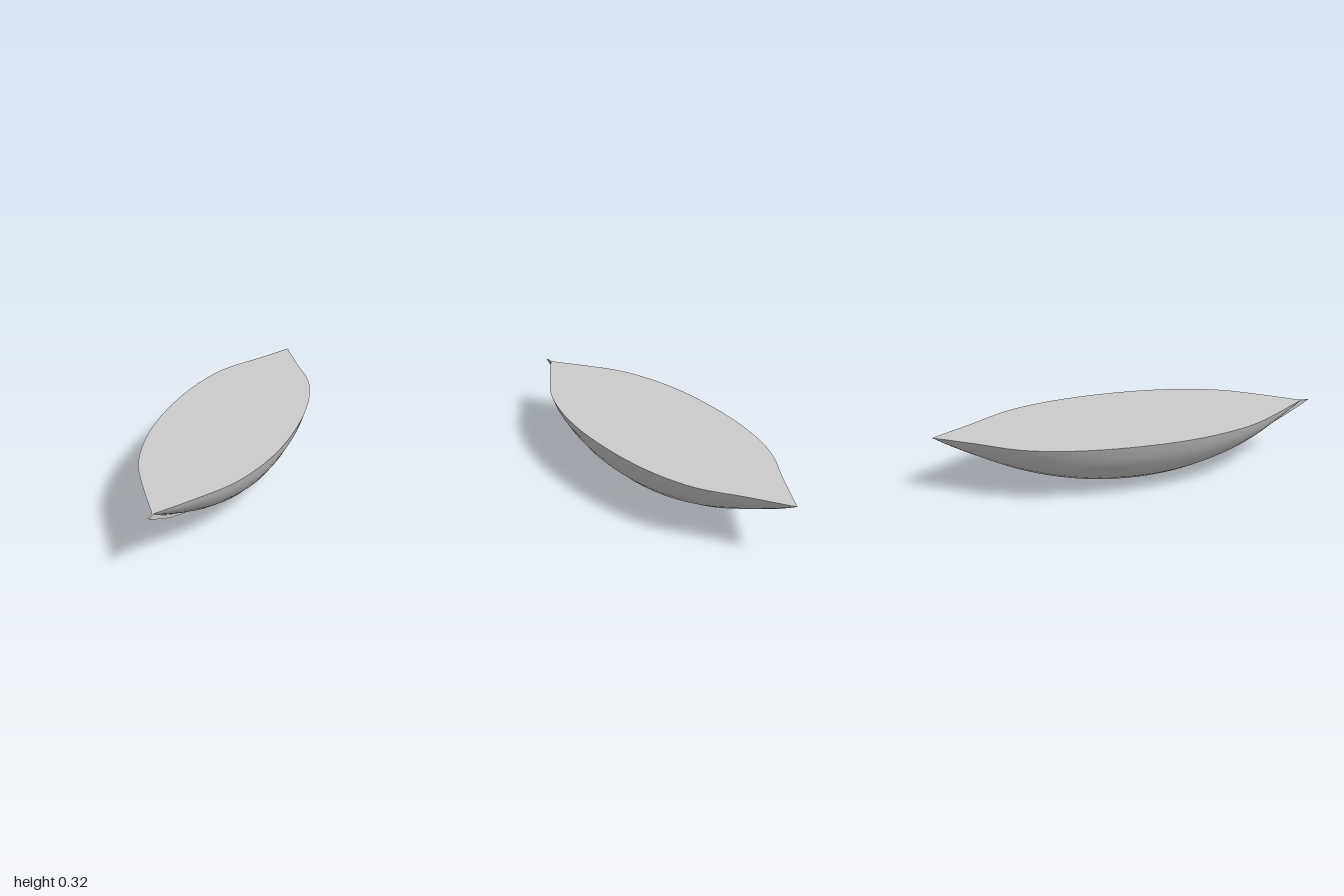
import * as THREE from 'three';
import { toCreasedNormals } from 'three/addons/utils/BufferGeometryUtils.js';

const H = 0.32;                 // deck height
const BOW = 0.96, STERN = -1;   // ends of the hull

// Half-width of the deck along z
const plan = new THREE.CatmullRomCurve3([
  [0, STERN], [0.12, -0.8], [0.245, -0.6], [0.31, -0.4], [0.341, -0.2], [0.35, 0],
  [0.341, 0.2], [0.306, 0.4], [0.238, 0.6], [0.12, 0.79], [0, BOW],
].map(([x, z]) => new THREE.Vector3(x, 0, z)));

// Midship half-section: [fraction of half-width, fraction of depth]
const section = [[0, 0], [0.41, 0.15], [0.6, 0.28], [0.74, 0.43], [0.845, 0.595], [0.937, 0.78], [1, 1]];
const fullSection = [
  ...section.slice(1).reverse().map(([x, y]) => [-x, y]),
  ...section,
];

// Bottom line, rising to deck height at both ends
const bottom = (z) => H * Math.pow(Math.abs(z / (z > 0 ? BOW : STERN)), 2.05);

function surface(rows) {
  const n = rows[0].length, index = [];
  for (let i = 0; i < rows.length - 1; i++) {
    for (let j = 0; j < n - 1; j++) {
      const a = i * n + j, b = a + 1, c = a + n, d = c + 1;
      index.push(a, b, c, b, d, c);
    }
  }
  const geo = new THREE.BufferGeometry();
  geo.setAttribute('position', new THREE.Float32BufferAttribute(rows.flat(2), 3));
  geo.setIndex(index);
  geo.computeVertexNormals();
  return geo;
}

export function createModel() {
  const model = new THREE.Group();
  const material = new THREE.MeshStandardMaterial({ color: 0xcccccc });
  const add = (name, geo) => {
    const mesh = new THREE.Mesh(geo, material);
    mesh.name = name;
    model.add(mesh);
  };
  const stations = plan.getPoints(40);

  // Hull: the midship section scaled to each station, a little straighter at the ends
  const hullRows = stations.map(({ x: w, z }) => {
    const k = bottom(z), straight = 0.3 * z * z;
    return fullSection.map(([u, v]) => [
      w * u,
      k + (H - k) * THREE.MathUtils.lerp(v, Math.abs(u), straight),
      z,
    ]);
  });
  add('hull', toCreasedNormals(surface(hullRows), 0.7));

  // Flat deck, closing the hull
  add('deck', surface(stations.map(({ x, z }) => [[x, H, z], [-x, H, z]])));

  // Thin stem fin along the bow
  const fin = new THREE.Shape();
  const steps = 16, z0 = 0.3;
  fin.moveTo(z0, bottom(z0) + 0.005);
  for (let i = 1; i <= steps; i++) {
    const z = z0 + (1 - z0) * i / steps;
    fin.lineTo(z, H * z * z);
  }
  for (let i = steps; i > 0; i--) {
    const z = z0 + (0.94 - z0) * i / steps;
    fin.lineTo(z, i === steps ? H : bottom(z) + 0.005);
  }
  const thickness = 0.008;
  const finGeo = new THREE.ExtrudeGeometry(fin, { depth: thickness, bevelEnabled: false });
  finGeo.translate(0, 0, -thickness / 2).rotateY(-Math.PI / 2);
  add('stemFin', finGeo);

  return model;
}
